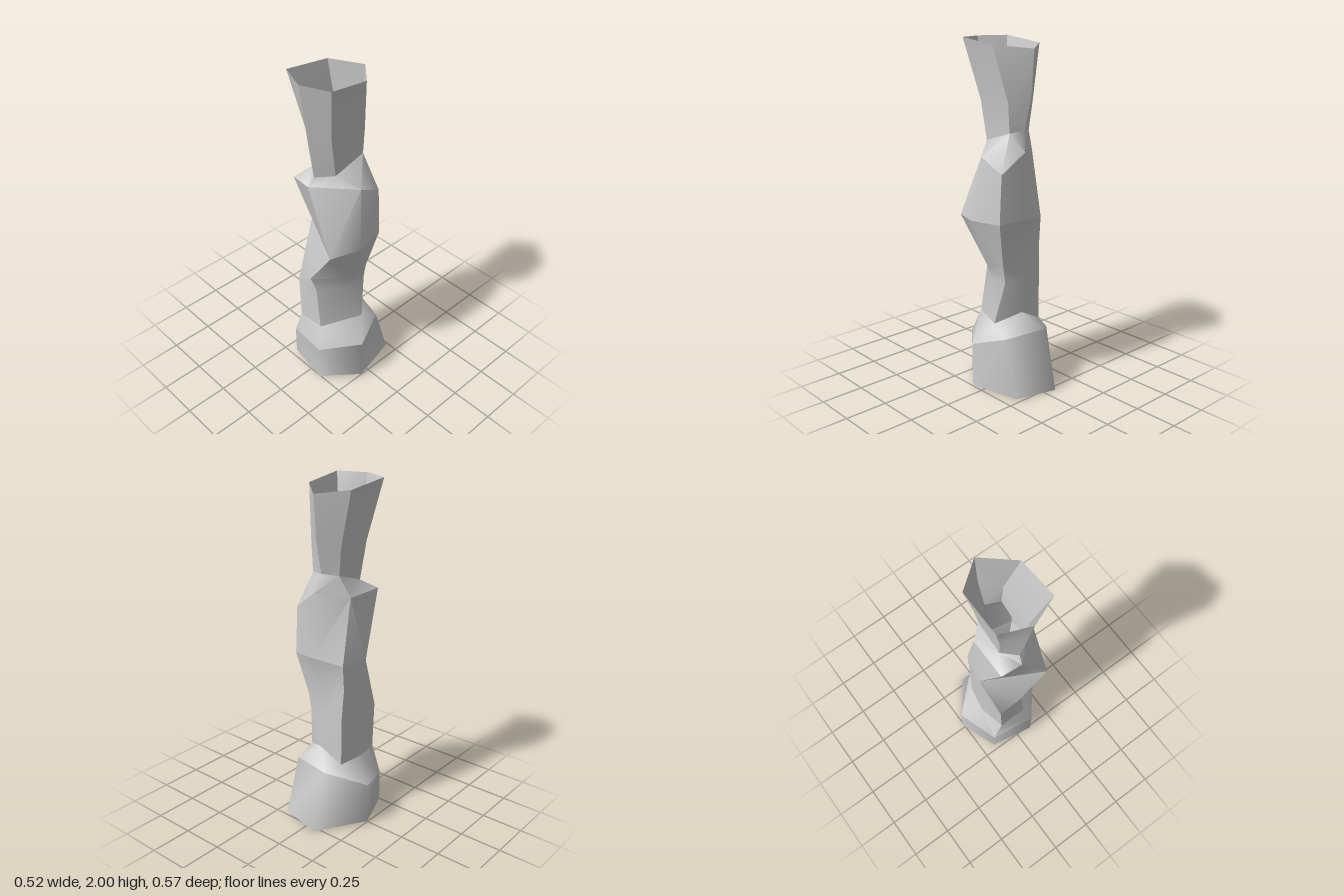
import * as THREE from 'three';
import { toCreasedNormals } from 'three/addons/utils/BufferGeometryUtils.js';

// Cross-sections, each listed counter-clockwise from its front right corner
const foot = [[-0.17, 0.02, 0.222], [0.095, 0.02, 0.268], [0.258, 0.015, 0.065],
  [0.185, 0.01, -0.23], [-0.07, 0, -0.285], [-0.26, 0.015, -0.015]];
const baseTop = [[-0.17, 0.21, 0.222], [0.095, 0.25, 0.268], [0.258, 0.275, 0.065],
  [0.18, 0.34, -0.13], [-0.07, 0.35, -0.185], [-0.26, 0.26, -0.015]];
const ankle = [[-0.11, 0.38, 0.22], [0.06, 0.39, 0.22], [0.165, 0.4, -0.02],
  [0.03, 0.46, -0.105], [-0.12, 0.38, -0.09], [-0.15, 0.39, 0.065]];
const waist = [[-0.12, 0.65, 0.22], [0.02, 0.65, 0.21], [0.12, 0.65, 0.05],
  [0.125, 0.65, -0.07], [0, 0.65, -0.1], [-0.12, 0.65, -0.09], [-0.16, 0.65, 0.06]];
const fold = [[-0.121, 0.66, 0.219], [0, 0.74, 0.235], [0.14, 0.72, 0.06],
  [0.14, 0.75, -0.07], [0.03, 0.85, -0.09], [-0.13, 0.85, -0.08], [-0.161, 0.7, 0.06]];
const belly = [[-0.165, 1, 0.07], [-0.03, 1, 0.14], [0.18, 1, 0.25], [0.245, 1.01, 0.08],
  [0.2, 1.01, -0.11], [0.05, 1.02, -0.14], [-0.13, 1, -0.09]];
const shoulder = [[-0.125, 1.38, 0.225], [0, 1.38, 0.235], [0.2, 1.37, 0.04],
  [0.185, 1.29, -0.11], [0.04, 1.4, -0.14], [-0.125, 1.38, -0.02]];
const neckBase = [[-0.07, 1.44, 0.13], [0.01, 1.43, 0.2], [0.09, 1.44, 0.12],
  [0.095, 1.5, -0.075], [0.01, 1.51, -0.105], [-0.07, 1.5, -0.05]];
const neckMiddle = [[-0.09, 1.66, 0.16], [0.008, 1.66, 0.235], [0.1, 1.66, 0.155],
  [0.105, 1.66, -0.075], [0.005, 1.71, -0.15], [-0.09, 1.66, -0.06]];
const rim = [[-0.155, 2, 0.22], [0.01, 2, 0.285], [0.17, 2, 0.22],
  [0.165, 1.97, -0.02], [0.005, 1.95, -0.17], [-0.148, 1.97, -0.05]];

const distance = (p, q) => Math.hypot(p[0] - q[0], p[1] - q[1], p[2] - q[2]);

// Joins two closed rings with triangles, taking the shorter diagonal each time
function joinRings(a, b, out) {
  const A = (i) => a[i % a.length];
  const B = (j) => b[j % b.length];
  let i = 0, j = 0;
  while (i < a.length || j < b.length) {
    const advanceLower = j === b.length ||
      (i < a.length && distance(A(i + 1), B(j)) < distance(A(i), B(j + 1)));
    if (advanceLower) {
      out.push(...A(i), ...A(i + 1), ...B(j));
      i++;
    } else {
      out.push(...A(i), ...B(j + 1), ...B(j));
      j++;
    }
  }
}

// Open skin through a stack of rings; edges sharper than the crease stay hard
function skin(name, rings, crease, material) {
  const positions = [];
  for (let k = 0; k + 1 < rings.length; k++) joinRings(rings[k], rings[k + 1], positions);
  const geometry = new THREE.BufferGeometry();
  geometry.setAttribute('position', new THREE.Float32BufferAttribute(positions, 3));
  const mesh = new THREE.Mesh(toCreasedNormals(geometry, crease), material);
  mesh.name = name;
  return mesh;
}

export function createModel() {
  const group = new THREE.Group();
  group.name = 'twistedHollowColumn';
  const material = new THREE.MeshStandardMaterial({ color: 0xcccccc, side: THREE.DoubleSide });
  group.add(
    skin('base', [foot, baseTop], 1.3, material),
    skin('baseShoulder', [baseTop, ankle], 1.1, material),
    skin('lowerColumn', [ankle, waist, fold, belly], 0.8, material),
    skin('upperColumn', [belly, shoulder], 0.9, material),
    skin('collar', [shoulder, neckBase], 1.0, material),
    skin('flaredNeck', [neckBase, neckMiddle, rim], 0.5, material),
  );
  return group;
}
